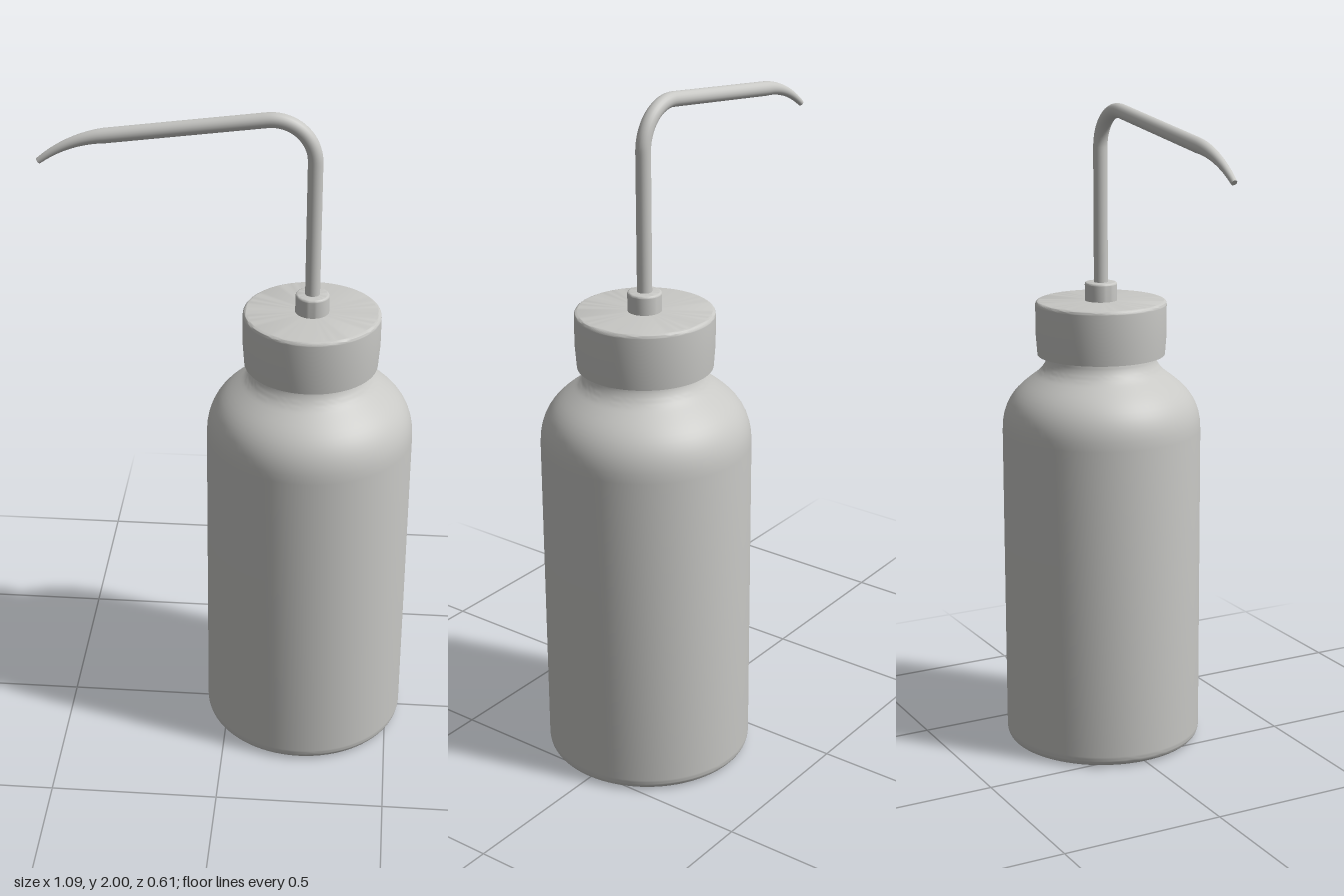
import * as THREE from 'three';
import { toCreasedNormals } from 'three/addons/utils/BufferGeometryUtils.js';

const AXIS_X = 0.237; // bottle axis, offset so the spout balances the model

export function createModel() {
  const model = new THREE.Group();
  const plastic = new THREE.MeshStandardMaterial({ color: 0xc8c8c5 });
  plastic.name = 'light grey plastic';

  const add = (name, geometry) => {
    const mesh = new THREE.Mesh(geometry, plastic);
    mesh.name = name;
    model.add(mesh);
    return mesh;
  };
  // Turned part: profile drawn from the axis, outwards and upwards
  const turned = (name, path, segments) => {
    const lathe = new THREE.LatheGeometry(path.getPoints(10), segments);
    add(name, toCreasedNormals(lathe, 0.6)).position.x = AXIS_X;
  };

  // Bottle: rounded base, straight wall, domed shoulder flowing into the neck
  const bottle = new THREE.Path();
  bottle.moveTo(0, 0);
  bottle.lineTo(0.27, 0);
  bottle.quadraticCurveTo(0.305, 0, 0.305, 0.035);
  bottle.lineTo(0.305, 1.0);
  bottle.bezierCurveTo(0.305, 1.1, 0.25, 1.135, 0.205, 1.17);
  bottle.quadraticCurveTo(0.168, 1.197, 0.165, 1.235);
  bottle.lineTo(0.165, 1.36);
  bottle.lineTo(0, 1.36);
  turned('bottle', bottle, 80);

  // Screw cap: hollow skirt with a softened top edge
  const cap = new THREE.Path();
  cap.moveTo(0, 1.37);
  cap.lineTo(0.18, 1.37);
  cap.lineTo(0.18, 1.234);
  cap.lineTo(0.195, 1.234);
  cap.lineTo(0.2, 1.3);
  cap.lineTo(0.2, 1.388);
  cap.quadraticCurveTo(0.2, 1.4, 0.188, 1.4);
  cap.lineTo(0, 1.4);
  turned('cap', cap, 80);

  // Collar gripping the tube
  const collar = new THREE.Path();
  collar.moveTo(0, 1.39);
  collar.lineTo(0.049, 1.39);
  collar.lineTo(0.049, 1.449);
  collar.quadraticCurveTo(0.049, 1.456, 0.042, 1.456);
  collar.lineTo(0, 1.456);
  turned('collar', collar, 40);

  // Spout: rises, bends over, slopes down and droops to a tapered tip
  const route = new THREE.Path();
  route.moveTo(AXIS_X, 1.4);
  route.lineTo(AXIS_X, 1.858);
  route.absarc(AXIS_X - 0.12, 1.858, 0.12, 0, 1.703, false);
  route.lineTo(-0.36, 1.916);
  route.quadraticCurveTo(-0.46, 1.9, -0.538, 1.836);
  const curve = new THREE.CatmullRomCurve3(
    route.getSpacedPoints(90).map((p) => new THREE.Vector3(p.x, p.y, 0)));
  const steps = 120, sides = 20, radius = 0.0215, tipRadius = 0.009;
  const spout = new THREE.TubeGeometry(curve, steps, radius, sides, false);
  const pos = spout.attributes.position;
  const v = new THREE.Vector3();
  for (let i = 0; i <= steps; i++) {
    const centre = curve.getPointAt(i / steps);
    const t = THREE.MathUtils.clamp((-0.35 - centre.x) / 0.188, 0, 1);
    const scale = THREE.MathUtils.lerp(1, tipRadius / radius, t);
    for (let j = 0; j <= sides; j++) {
      const k = i * (sides + 1) + j;
      v.fromBufferAttribute(pos, k).sub(centre).multiplyScalar(scale).add(centre);
      pos.setXYZ(k, v.x, v.y, v.z);
    }
  }
  add('spout', spout);

  // Flat end of the spout
  const tip = add('spoutTip', new THREE.CircleGeometry(tipRadius, sides));
  const end = curve.getPointAt(1);
  tip.position.copy(end);
  tip.lookAt(end.clone().add(curve.getTangentAt(1)));

  return model;
}
